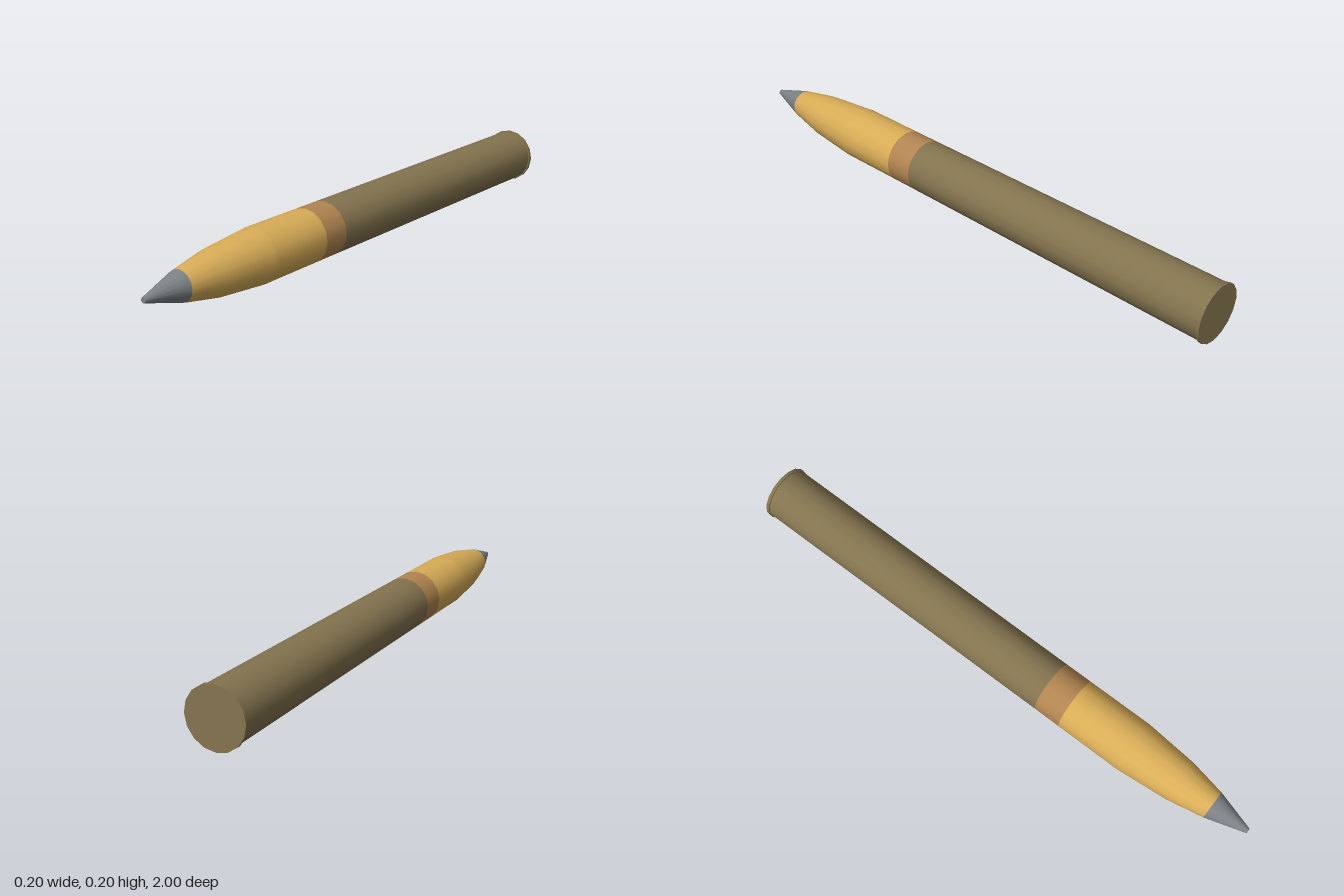
import * as THREE from 'three';
import { mergeGeometries } from 'three/addons/utils/BufferGeometryUtils.js';

const SIDES = 16;
const AXIS_Y = 0.1;

const paint = (name, color) => {
  const m = new THREE.MeshStandardMaterial({ color });
  m.name = name;
  return m;
};

// Turns [radius, z] profiles about the long axis; each profile is smooth, with sharp edges between them.
function turned(name, material, ...profiles) {
  const parts = profiles.map((profile) =>
    new THREE.LatheGeometry(profile.map(([r, z]) => new THREE.Vector2(r, z)), SIDES));
  const geometry = mergeGeometries(parts);
  geometry.rotateX(Math.PI / 2);
  const mesh = new THREE.Mesh(geometry, material);
  mesh.name = name;
  mesh.position.y = AXIS_Y;
  return mesh;
}

export function createModel() {
  const brass = paint('dull brass', 0x84744f);
  const yellow = paint('ochre yellow', 0xd9ad57);
  const copper = paint('copper', 0xb28550);
  const steel = paint('grey steel', 0x7b8185);

  const group = new THREE.Group();
  group.name = 'shell';
  group.add(
    // Flat base with a thin flange
    turned('rim', brass,
      [[0, -1], [0.1, -1]],
      [[0.1, -1], [0.1, -0.988]],
      [[0.1, -0.988], [0.095, -0.988]]),
    // Slightly tapered case
    turned('case', brass, [[0.096, -0.988], [0.093, 0.2]]),
    turned('drivingBand', copper, [[0.093, 0.2], [0.093, 0.3]]),
    // Straight shoulder running into the curved nose
    turned('projectile', yellow,
      [[0.093, 0.3], [0.093, 0.54]],
      [[0.093, 0.54], [0.076, 0.73], [0.051, 0.86]]),
    // Conical fuse with a blunt tip
    turned('fuse', steel,
      [[0.051, 0.86], [0.009, 1]],
      [[0.009, 1], [0, 1]]),
  );
  return group;
}
